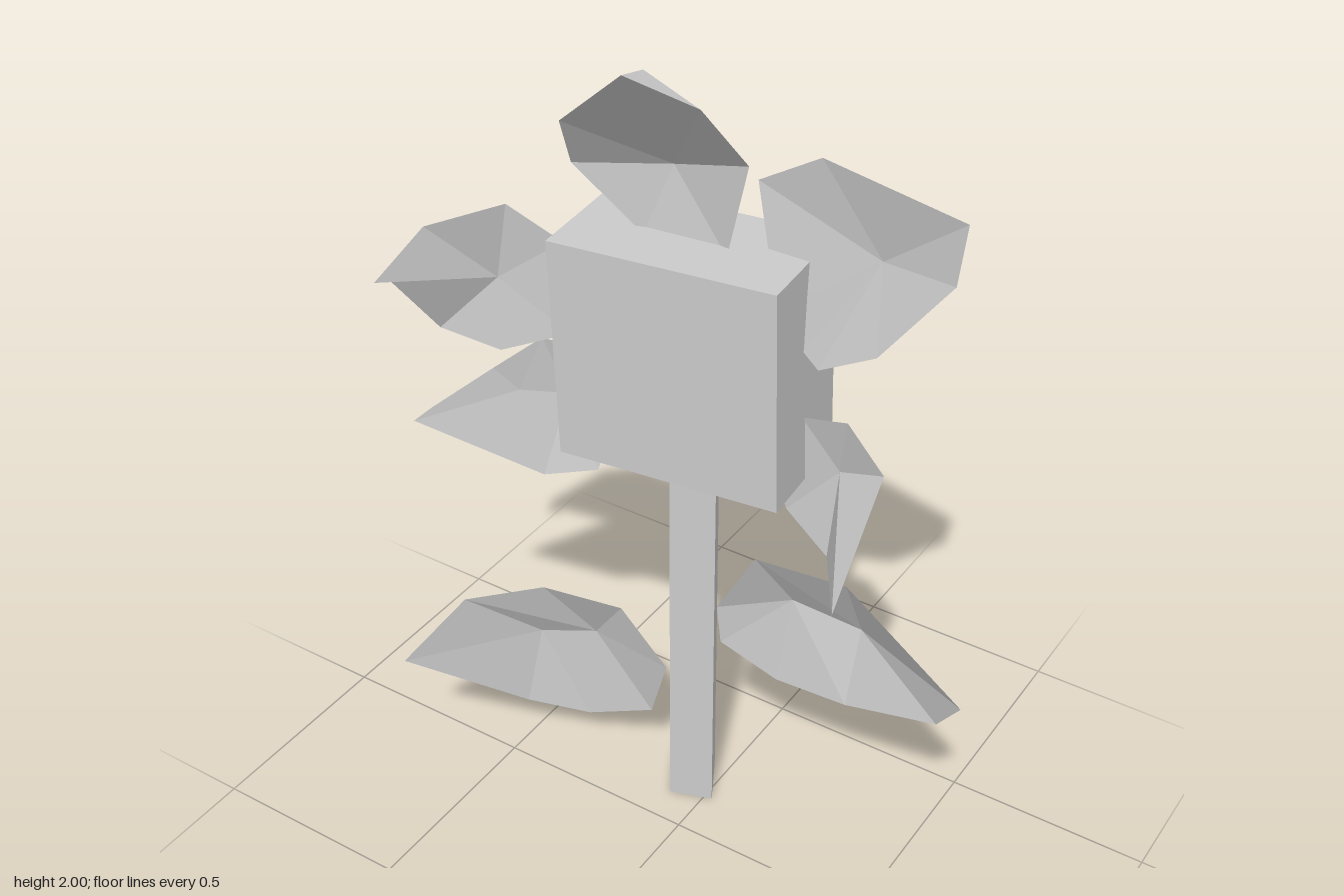
import * as THREE from 'three';

const material = new THREE.MeshStandardMaterial({
  color: 0xcccccc, flatShading: true, side: THREE.DoubleSide,
});

function part(name, geometry) {
  const mesh = new THREE.Mesh(geometry, material);
  mesh.name = name;
  return mesh;
}

// Joins a rim to the points of a ridge, each rim corner going to its nearest ridge point.
function skin(out, rim, ridge, flip) {
  const flat = (a, b) => (a[0] - b[0]) ** 2 + (a[1] - b[1]) ** 2;
  const nearest = (p) => ridge.reduce((best, c) => (flat(p, c) < flat(p, best) ? c : best));
  const face = (a, b, c) => out.push(...a, ...(flip ? c : b), ...(flip ? b : c));
  rim.forEach((a, i) => {
    const b = rim[(i + 1) % rim.length];
    const ca = nearest(a), cb = nearest(b);
    face(a, b, ca);
    if (ca !== cb) face(b, cb, ca);
  });
  // A ridge of three points leaves a triangle to close
  if (ridge.length === 3) face(...ridge);
}

// A cupped leaf: sharp rim (counter-clockwise from the front), hollow inside, bulging outside.
function leaf(name, rim, inner, outer) {
  const points = [];
  skin(points, rim, inner, false);
  skin(points, rim, outer, true);
  const geometry = new THREE.BufferGeometry();
  geometry.setAttribute('position', new THREE.Float32BufferAttribute(points, 3));
  geometry.computeVertexNormals();
  return part(name, geometry);
}

export function createModel() {
  const flower = new THREE.Group();
  flower.name = 'flower';

  // Stem with a slightly skewed four-sided section
  const section = new THREE.Shape(
    [[-0.08, 0.085], [-0.14, 0.195], [-0.04, 0.23], [0.02, 0.12]].map(([x, y]) => new THREE.Vector2(x, y)),
  );
  const stemGeometry = new THREE.ExtrudeGeometry(section, { depth: 1.15, bevelEnabled: false });
  flower.add(part('stem', stemGeometry.rotateX(-Math.PI / 2)));

  // Square flower head
  const head = part('flowerHead', new THREE.BoxGeometry(0.53, 0.525, 0.28));
  head.position.set(-0.06, 1.277, -0.15);
  head.rotation.set(0, 0.085, 0.03);
  flower.add(head);

  // Petals
  flower.add(
    leaf('topPetal', [
      [-0.055, 2, 0.11], [-0.29, 1.8, -0.01], [-0.33, 1.66, -0.1], [-0.18, 1.52, -0.14],
      [0.02, 1.52, -0.15], [0.08, 1.75, -0.13], [0.055, 1.92, 0.01],
    ], [[-0.115, 1.69, -0.16]], [[-0.06, 1.98, 0.03], [-0.115, 1.72, -0.205]]),

    leaf('upperLeftPetal', [
      [0.57, 1.78, -0.1], [0.215, 1.785, -0.18], [0.055, 1.68, -0.21], [0.13, 1.42, -0.17],
      [0.2, 1.35, -0.16], [0.26, 1.345, -0.12], [0.405, 1.44, -0.09], [0.56, 1.65, -0.09],
    ], [[0.36, 1.6, -0.18]], [[0.35, 1.62, -0.22], [0.2, 1.5, -0.25]]),

    leaf('lowerLeftPetal', [
      [0.45, 0.955, 0.125], [0.435, 1.16, -0.1], [0.33, 1.235, -0.13], [0.2, 1.18, -0.17],
      [0.13, 1.02, -0.18], [0.165, 0.92, -0.18], [0.295, 0.87, -0.135],
    ], [[0.3, 1.08, -0.165]], [[0.34, 1.05, -0.2]]),

    leaf('upperRightPetal', [
      [-0.3, 1.52, -0.02], [-0.405, 1.6, 0.03], [-0.51, 1.58, 0.17], [-0.53, 1.51, 0.31],
      [-0.572, 1.48, 0.235], [-0.555, 1.285, 0.09], [-0.44, 1.235, 0.03], [-0.29, 1.3, -0.02],
    ], [[-0.445, 1.41, 0.02]], [[-0.54, 1.45, 0.0]]),

    leaf('lowerRightPetal', [
      [-0.62, 1.04, 0.13], [-0.4, 0.87, -0.05], [-0.27, 0.915, -0.08], [-0.24, 1.02, -0.1],
      [-0.3, 1.22, -0.09], [-0.395, 1.235, -0.06], [-0.49, 1.155, 0.0], [-0.59, 1.07, 0.1],
    ], [[-0.45, 1.09, -0.04], [-0.36, 1.08, -0.1]], [[-0.4, 1.09, -0.165]]),
  );

  // Leaves on the stem
  flower.add(
    leaf('leftLeaf', [
      [0.65, 0.61, -0.12], [0.345, 0.805, -0.14], [0.125, 0.8, -0.12], [0.015, 0.6, -0.14],
      [0.02, 0.49, -0.15], [0.145, 0.395, -0.2], [0.325, 0.395, -0.21], [0.575, 0.49, -0.17],
    ], [[0.17, 0.635, -0.22], [0.335, 0.6, -0.25]],
    [[0.34, 0.6, -0.305], [0.18, 0.6, -0.3], [0.25, 0.41, -0.3]]),

    leaf('rightLeaf', [
      [-0.2, 0.555, -0.06], [-0.38, 0.58, 0], [-0.54, 0.54, 0.1], [-0.655, 0.37, 0.205],
      [-0.46, 0.17, -0.02], [-0.33, 0.13, -0.1], [-0.15, 0.22, -0.11], [-0.08, 0.42, -0.07],
    ], [[-0.43, 0.39, -0.05], [-0.31, 0.4, -0.11]], [[-0.4, 0.38, -0.15], [-0.25, 0.38, -0.19]]),
  );
  return flower;
}
